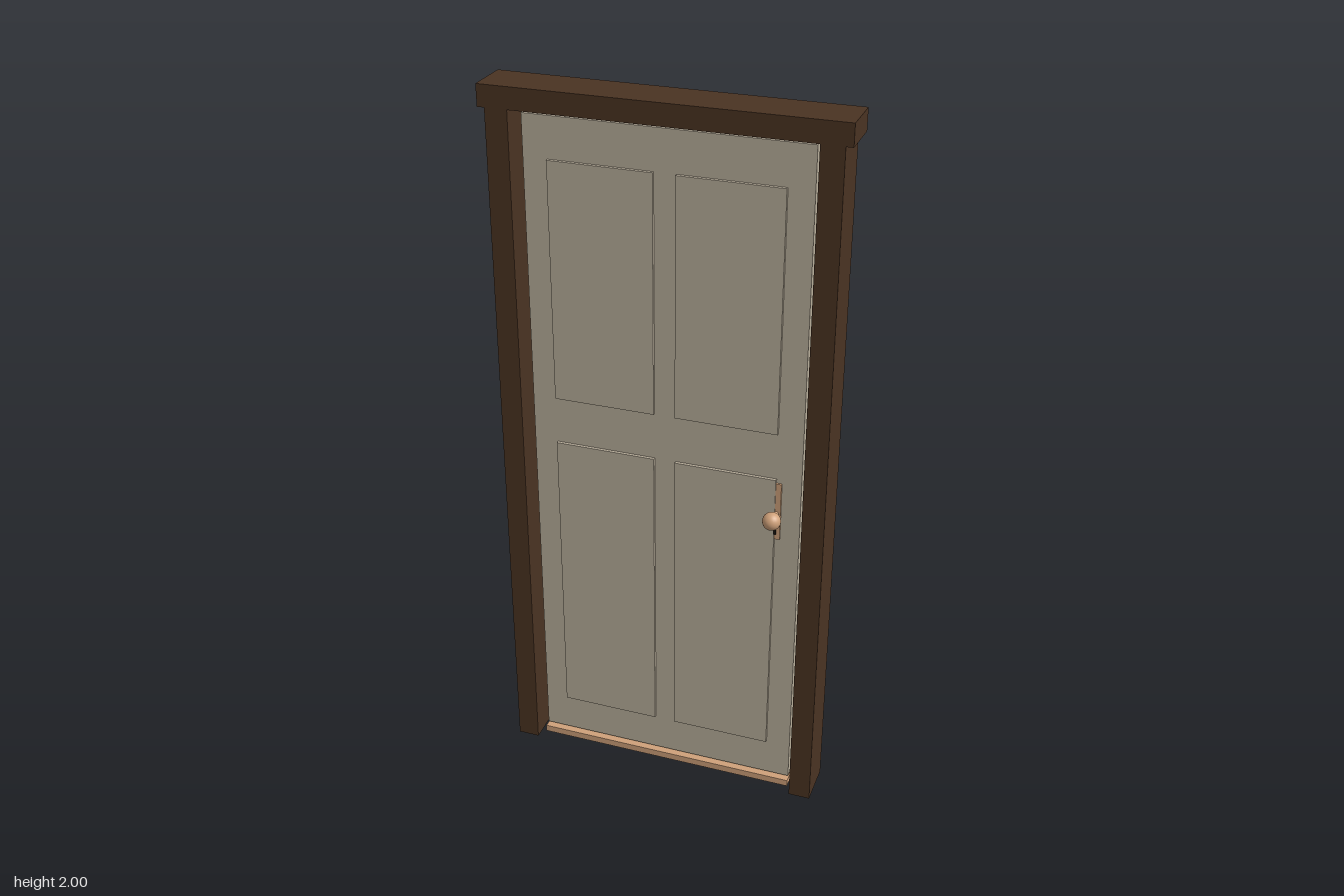
import * as THREE from 'three';

export function createModel() {
  const model = new THREE.Group();
  model.name = 'door';

  const material = (name, color) => {
    const m = new THREE.MeshStandardMaterial({ color });
    m.name = name;
    return m;
  };
  const darkWood = material('dark wood', 0x4a3322);
  const paint = material('beige paint', 0xb9af9b);
  const brass = material('warm brass', 0xcfa17a);
  const black = material('keyhole black', 0x17120e);

  const add = (name, geometry, mat, x, y, z) => {
    const mesh = new THREE.Mesh(geometry, mat);
    mesh.name = name;
    mesh.position.set(x, y, z);
    model.add(mesh);
    return mesh;
  };
  // Box given by its minimum and maximum corners
  const box = (name, mat, [x0, y0, z0], [x1, y1, z1]) =>
    add(name, new THREE.BoxGeometry(x1 - x0, y1 - y0, z1 - z0), mat,
      (x0 + x1) / 2, (y0 + y1) / 2, (z0 + z1) / 2);

  // Frame: two posts and an overhanging lintel
  box('leftPost', darkWood, [0.394, 0, -0.063], [0.455, 1.945, 0.063]);
  box('rightPost', darkWood, [-0.455, 0, -0.063], [-0.394, 1.945, 0.063]);
  box('lintel', darkWood, [-0.474, 1.942, -0.066], [0.474, 2, 0.064]);

  // Threshold strip under the leaf
  box('threshold', brass, [-0.38, 0, -0.032], [0.38, 0.02, 0.032]);

  // Door leaf with four raised panels on each face
  const face = 0.017, raised = 0.026;
  box('doorLeaf', paint, [-0.378, 0.026, -face], [0.378, 1.924, face]);
  for (const [y0, y1] of [[0.14, 1.012], [1.147, 1.812]]) {
    for (const x0 of [-0.311, 0.029]) {
      box('raisedPanel', paint, [x0, y0, -raised], [x0 + 0.281, y1, raised]);
    }
  }

  // Lock plate beside the front panel, with its keyhole
  box('lockPlate', brass, [0.3, 0.83, face - 0.004], [0.325, 1.0, face + 0.006]);
  box('keyhole', black, [0.308, 0.846, raised - 0.004], [0.315, 0.87, raised + 0.001]);

  // Knobs on both faces, each on a short stem
  for (const side of [1, -1]) {
    const z = side > 0 ? 0.061 : -0.065;
    add('knob', new THREE.SphereGeometry(0.025, 24, 16), brass, 0.312, 0.908, z);
    const stem = add('knobStem', new THREE.CylinderGeometry(0.009, 0.009, 0.04, 16),
      brass, 0.312, 0.908, side * 0.034);
    stem.rotation.x = Math.PI / 2;
  }

  return model;
}
